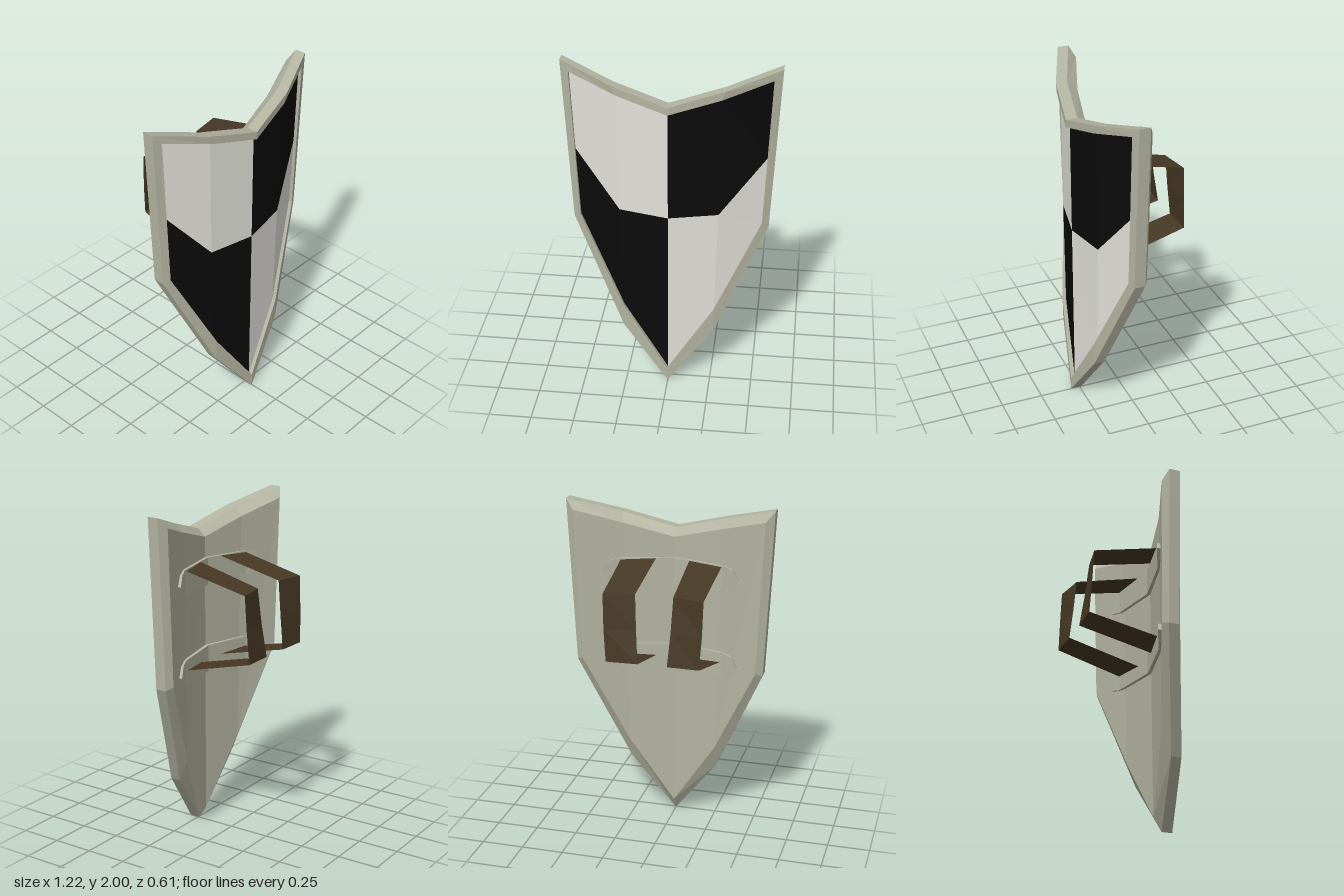
import * as THREE from 'three';

const mat = (color, side = THREE.FrontSide) =>
  new THREE.MeshStandardMaterial({ color, side, flatShading: true, roughness: 0.9 });

const flip = ([x, y, z]) => [-x, y, z];

// Quads between two lines of points
function strip(a, b, closed = false) {
  const quads = [];
  const n = closed ? a.length : a.length - 1;
  for (let i = 0; i < n; i++) {
    const j = (i + 1) % a.length;
    quads.push([a[i], b[i], b[j], a[j]]);
  }
  return quads;
}

// The same quads on the other side of x = 0, facing the same way out
const mirrored = (quads) => quads.map((q) => q.map(flip).reverse());

function quadMesh(name, quads, material) {
  const pos = [];
  for (const [a, b, c, d] of quads) pos.push(...a, ...b, ...c, ...a, ...c, ...d);
  const geo = new THREE.BufferGeometry();
  geo.setAttribute('position', new THREE.Float32BufferAttribute(pos, 3));
  geo.computeVertexNormals();
  const mesh = new THREE.Mesh(geo, material);
  mesh.name = name;
  return mesh;
}

// Half outlines: top notch, top edge, corner, side, lower side, tip
const outer = [[0, 1.825], [0.31, 1.912], [0.612, 2], [0.565, 1.02], [0.268, 0.355], [0, 0.003]];
const inner = [[0, 1.78], [0.29, 1.86], [0.563, 1.94], [0.525, 1.035], [0.265, 0.49], [0, 0.085]];
const withZ = (outline, zs) => outline.map(([x, y], i) => [x, y, zs[i]]);
const loop = (half) => [...half, ...half.slice(1, -1).reverse().map(flip)];

export function createModel() {
  const group = new THREE.Group();
  const metal = mat(0xb4b4a2);
  const black = mat(0x0b0b0b);
  const white = mat(0xe2e1da);
  const leather = mat(0x463824, THREE.DoubleSide);

  // Rim: from the back face over the chamfer, round the edge and into the recess
  const back = withZ(inner, [0.185, 0.125, 0.03, 0.035, 0.135, 0.19]);
  const rings = [
    back,
    withZ(outer, [0.235, 0.18, 0.06, 0.06, 0.19, 0.24]),
    withZ(outer, [0.303, 0.247, 0.125, 0.125, 0.252, 0.305]),
    withZ(inner, [0.303, 0.25, 0.145, 0.145, 0.255, 0.305]),
    withZ(inner, [0.28, 0.228, 0.122, 0.122, 0.232, 0.28]),
  ].map(loop);
  const rim = [];
  for (let i = 0; i < rings.length - 1; i++) rim.push(...strip(rings[i], rings[i + 1], true));
  group.add(quadMesh('rim', rim, metal));

  // Back face
  const [A, B, C, M, L, T] = back;
  const backHalf = [[A, B, L, T], [B, C, M, L]];
  group.add(quadMesh('backFace', [...backHalf, ...mirrored(backHalf)], metal));

  // Quartered front panel
  const top = [[0, 1.78, 0.28], [0.29, 1.86, 0.228], [0.563, 1.94, 0.122]];
  const mid = [[0, 1.125, 0.28], [0.282, 1.137, 0.23], [0.548, 1.465, 0.122]];
  const low = [[0, 0.085, 0.28], [0.265, 0.49, 0.232], [0.525, 1.035, 0.122]];
  const upper = strip(top, mid);
  const lower = strip(mid, low);
  group.add(quadMesh('upperLeftPanel', upper, black));
  group.add(quadMesh('lowerLeftPanel', lower, white));
  group.add(quadMesh('upperRightPanel', mirrored(upper), white));
  group.add(quadMesh('lowerRightPanel', mirrored(lower), black));

  // Strap mounting plates, bent along the back face: x, half height, z
  const half = [[0, 0.08, 0.165], [0.31, 0.072, 0.105], [0.37, 0.058, 0.078], [0.41, 0, 0.06]];
  const sections = [...half.slice(1).reverse().map(flip), ...half];
  for (const [name, y] of [['upperPlate', 1.58], ['lowerPlate', 1.05]]) {
    const line = (s, dz) => sections.map(([x, h, z]) => [x, y + s * h, z + dz]);
    const lines = [line(1, 0), line(1, 0.03), line(-1, 0.03), line(-1, 0)];
    const quads = lines.flatMap((l, k) => strip(l, lines[(k + 1) % 4]));
    group.add(quadMesh(name, quads, metal));
  }

  // Arm straps: folded ribbons, outer and inner edge
  const outerEdge = [[0.3, 1.645, 0.1], [0.29, 1.555, -0.283], [0.285, 1.35, -0.293],
    [0.272, 1.16, -0.303], [0.3, 1.065, 0.1]];
  const innerEdge = [[0.1, 1.655, 0.145], [0.11, 1.557, -0.25], [0.1, 1.35, -0.272],
    [0.086, 1.16, -0.298], [0.1, 1.055, 0.145]];
  const strap = strip(outerEdge, innerEdge);
  group.add(quadMesh('leftStrap', strap, leather));
  group.add(quadMesh('rightStrap', mirrored(strap), leather));

  return group;
}
